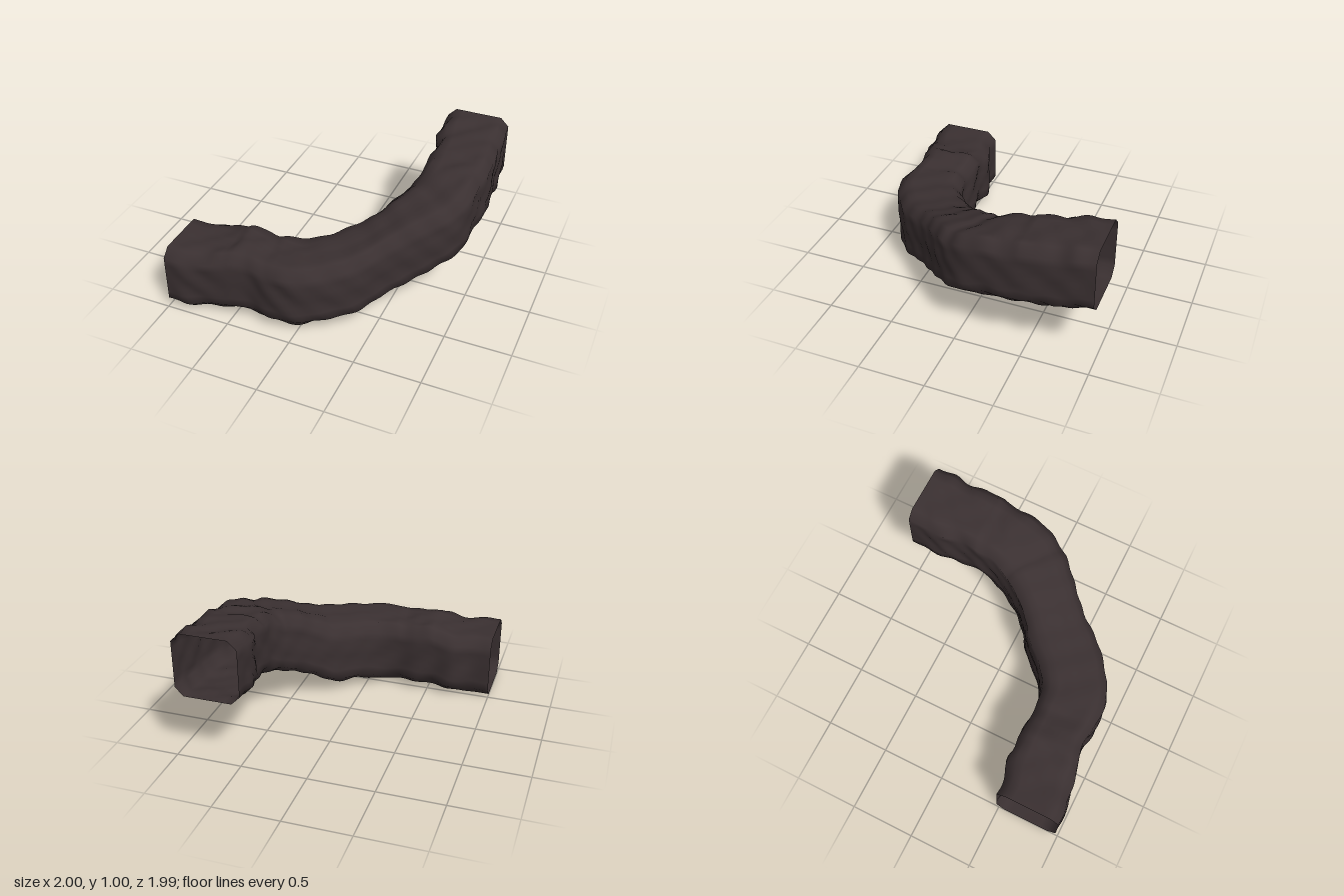
import * as THREE from 'three';

// Stations along the tunnel: inner wall x,z | outer wall x,z | floor y, roof y
const STATIONS = [
  [-1, 0.48, -1, 0.98, 0.01, 0.51],
  [-0.85, 0.48, -0.87, 0.98, 0.01, 0.505],
  [-0.7, 0.43, -0.7, 0.955, 0.03, 0.51],
  [-0.55, 0.445, -0.55, 0.92, 0.045, 0.54],
  [-0.4, 0.44, -0.38, 0.89, 0.055, 0.55],
  [-0.25, 0.45, -0.2, 0.91, 0.045, 0.54],
  [-0.1, 0.415, 0, 0.905, 0.05, 0.55],
  [0.03, 0.32, 0.2, 0.8, 0.08, 0.57],
  [0.17, 0.17, 0.38, 0.65, 0.1, 0.6],
  [0.28, 0.08, 0.52, 0.47, 0.17, 0.66],
  [0.37, -0.02, 0.68, 0.31, 0.24, 0.74],
  [0.45, -0.15, 0.83, 0.16, 0.31, 0.8],
  [0.49, -0.24, 0.93, 0, 0.36, 0.85],
  [0.515, -0.33, 0.97, -0.22, 0.41, 0.9],
  [0.515, -0.47, 0.99, -0.45, 0.44, 0.93],
  [0.515, -0.6, 0.985, -0.6, 0.45, 0.95],
  [0.48, -0.75, 0.98, -0.75, 0.47, 0.965],
  [0.48, -0.88, 0.975, -0.88, 0.5, 0.985],
  [0.48, -1, 0.97, -1, 0.51, 1],
];

// Square section with chamfered corners, each flat wall subdivided (u across, v up)
function sectionPoints(chamfer, steps) {
  const c = chamfer, points = [];
  const walls = [
    [c, 0, 1 - c, 0], [1, c, 1, 1 - c],
    [1 - c, 1, c, 1], [0, 1 - c, 0, c],
  ];
  for (const [u0, v0, u1, v1] of walls) {
    for (let i = 0; i <= steps; i++) {
      const t = i / steps;
      points.push([u0 + (u1 - u0) * t, v0 + (v1 - v0) * t]);
    }
  }
  return points;
}

function tunnelGeometry(rings) {
  const curve = (f) => new THREE.CatmullRomCurve3(STATIONS.map(f));
  const section = sectionPoints(0.13, 6);
  const inner = curve((s) => new THREE.Vector3(s[0], s[4], s[1]));
  const outer = curve((s) => new THREE.Vector3(s[2], s[4], s[3]));
  const heights = curve((s) => new THREE.Vector3(s[5] - s[4], 0, 0));
  const n = section.length, positions = [], indices = [];

  for (let r = 0; r <= rings; r++) {
    const t = r / rings;
    const a = inner.getPoint(t), b = outer.getPoint(t);
    const h = heights.getPoint(t).x;
    const across = b.clone().sub(a).setY(0).normalize();
    const taper = Math.min(1, Math.min(t, 1 - t) * 14);
    section.forEach(([u, v]) => {
      const p = a.clone().lerp(b, u);
      p.y += v * h;
      // Gentle rock bumps that fade out at the flat openings
      const bump = 0.008 * taper * (Math.sin(p.x * 19 + p.y * 15 + 1) * Math.cos(p.z * 17 - p.y * 11)
        + 0.7 * Math.sin(p.z * 31 + p.x * 23 + p.y * 27));
      p.addScaledVector(across, bump * (u - 0.5) * 2);
      p.y += bump * (v - 0.5) * 2;
      positions.push(p.x, p.y, p.z);
    });
  }
  for (let r = 0; r < rings; r++) {
    for (let i = 0; i < n; i++) {
      const j = (i + 1) % n, p = r * n, q = p + n;
      indices.push(p + i, q + i, p + j, p + j, q + i, q + j);
    }
  }
  const geometry = new THREE.BufferGeometry();
  geometry.setAttribute('position', new THREE.Float32BufferAttribute(positions, 3));
  geometry.setIndex(indices);
  geometry.computeVertexNormals();
  return geometry;
}

export function createModel() {
  const group = new THREE.Group();
  group.name = 'caveTunnel';
  const rock = new THREE.MeshStandardMaterial({ color: 0x3a3031, side: THREE.DoubleSide });
  rock.name = 'darkRock';
  // Open-ended bent, rising tunnel
  const tunnel = new THREE.Mesh(tunnelGeometry(108), rock);
  tunnel.name = 'tunnelWalls';
  group.add(tunnel);
  return group;
}
